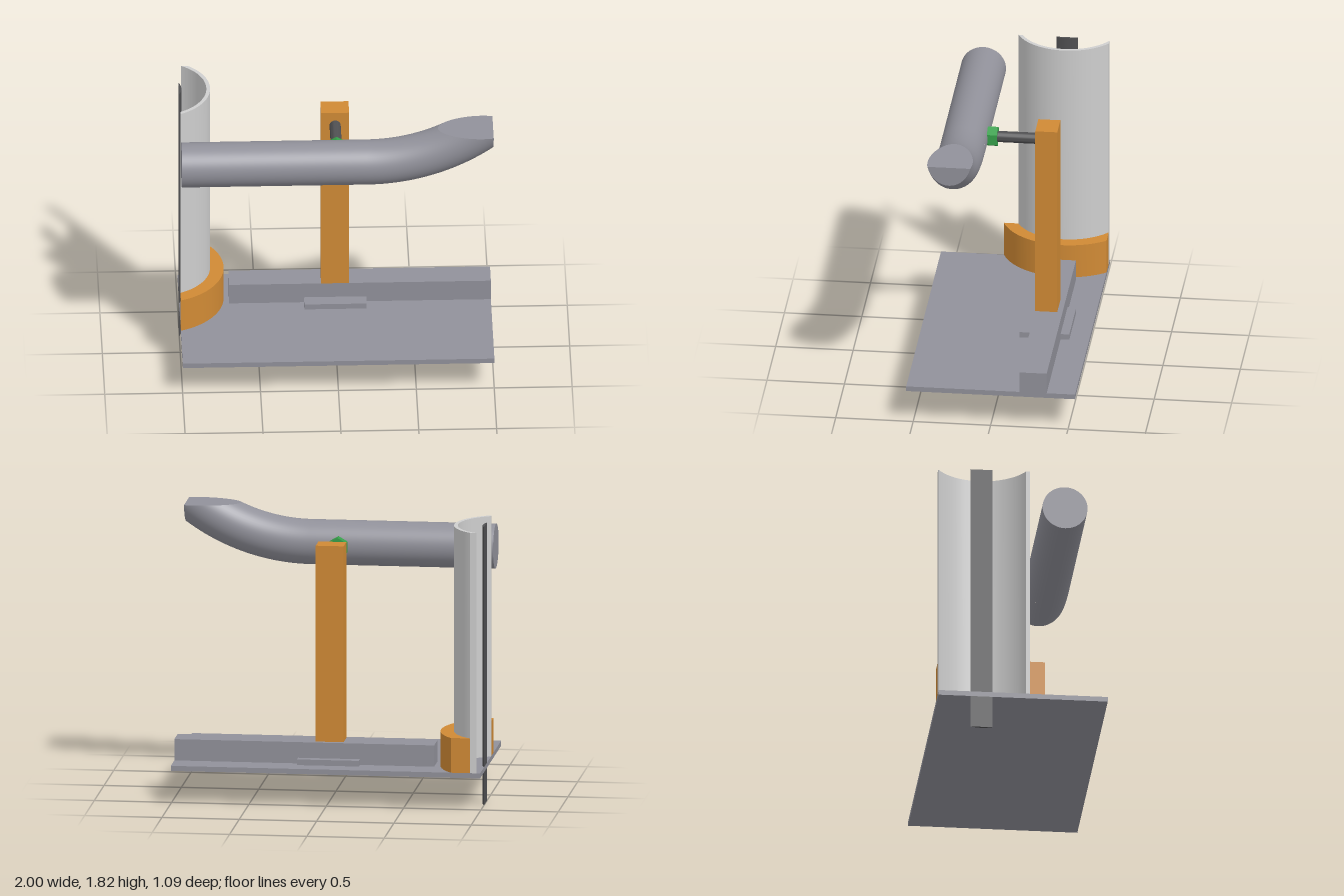
import * as THREE from 'three';
import { toCreasedNormals } from 'three/addons/utils/BufferGeometryUtils.js';
import { ParametricGeometry } from 'three/addons/geometries/ParametricGeometry.js';

const mat = (name, color) => {
  const m = new THREE.MeshStandardMaterial({ color });
  m.name = name;
  return m;
};

export function createModel() {
  const model = new THREE.Group();
  model.name = 'pipeStand';
  const steel = mat('steelGrey', 0x91919a);
  const orange = mat('orange', 0xd08a35);
  const pale = mat('paleGrey', 0xcecece);
  const dark = mat('darkGrey', 0x505052);
  const green = mat('green', 0x36a04a);

  const add = (name, geo, material) => {
    const mesh = new THREE.Mesh(geo, material);
    mesh.name = name;
    model.add(mesh);
    return mesh;
  };
  // Box given by its limits on each axis
  const box = (name, material, [x0, x1], [y0, y1], [z0, z1]) =>
    add(name, new THREE.BoxGeometry(x1 - x0, y1 - y0, z1 - z0), material)
      .position.set((x0 + x1) / 2, (y0 + y1) / 2, (z0 + z1) / 2);

  // Base, rail, cross block and upright post
  box('basePlate', steel, [-1, 1], [0.215, 0.248], [-0.545, 0.545]);
  box('rail', steel, [-0.68, 1], [0.248, 0.387], [-0.362, -0.186]);
  box('crossBlock', steel, [-0.2, 0.2], [0.248, 0.285], [-0.418, -0.097]);
  box('post', orange, [-0.09, 0.09], [0.387, 1.668], [-0.328, -0.186]);

  // Upright round parts, cut off flat at x = -1 and z = -0.545
  const cx = -1.148, cz = 0.27, cutX = 0.148, cutZ = 0.275;
  const cutRing = (name, material, outer, inner, y0, y1) => {
    const shape = new THREE.Shape();
    const start = (r) => -Math.acos(cutX / r);
    const end = (r) => Math.min(Math.asin(Math.min(1, cutZ / r)), -start(r));
    shape.absarc(cx, cz, outer, start(outer), end(outer), false);
    if (inner) shape.absarc(cx, cz, inner, end(inner), start(inner), true);
    shape.closePath();
    const geo = new THREE.ExtrudeGeometry(shape, { depth: y1 - y0, bevelEnabled: false, curveSegments: 40 });
    geo.rotateX(-Math.PI / 2).translate(0, y0, 0);
    add(name, toCreasedNormals(geo, 0.5), material);
  };
  cutRing('uprightPipe', pale, 0.348, 0.324, 0.248, 1.82);
  cutRing('pipeCollar', orange, 0.435, 0.348, 0.248, 0.475);
  cutRing('innerRod', dark, 0.164, 0, 0, 1.82);

  // Arm and hexagonal nut, both running along z
  const armY = 1.575;
  const along = (name, material, radius, sides, z0, z1) => {
    const geo = new THREE.CylinderGeometry(radius, radius, z1 - z0, sides).rotateX(Math.PI / 2);
    add(name, toCreasedNormals(geo, 0.5), material).position.set(0, armY, (z0 + z1) / 2);
  };
  along('arm', dark, 0.036, 32, -0.2, 0.1);
  along('nut', green, 0.068, 6, 0.066, 0.13);

  // Horizontal bar: straight part
  const r = 0.145, barZ = 0.27, x0 = 0.19, bend = 1.235, topY = 1.82;
  const straight = new THREE.CylinderGeometry(r, r, x0 + 1, 64, 1, true).rotateZ(Math.PI / 2);
  add('barStraight', straight, steel).position.set((x0 - 1) / 2, armY, barZ);
  add('barEnd', new THREE.CircleGeometry(r, 64).rotateY(-Math.PI / 2), steel).position.set(-1, armY, barZ);

  // Bar: upward bend, cut off flat at x = 1 and y = topY
  const centreY = armY + bend, dx = 1 - x0, dy = centreY - topY;
  const corner = Math.acos((Math.hypot(dx, dy) - bend) / r);
  const onBend = (phi, v, target) => {
    const rad = bend + r * Math.cos(phi);
    const limit = Math.min(Math.asin(Math.min(1, dx / rad)), Math.acos(Math.min(1, dy / rad)));
    const t = v * limit;
    return target.set(x0 + rad * Math.sin(t), centreY - rad * Math.cos(t), barZ - r * Math.sin(phi));
  };
  // Angle around the bar, with a vertex line exactly where the two cuts meet
  const around = (u) => {
    const s = 2 * u - 1, a = Math.abs(s);
    return Math.sign(s) * (a < 0.5 ? 2 * a * corner : corner + (2 * a - 1) * (Math.PI - corner));
  };
  add('barBend', new ParametricGeometry((u, v, p) => onBend(around(u), v, p), 64, 24), steel);

  // Flat faces closing the bend, spanned from the +z rim to the -z rim
  const cutFace = (name, from, to) => {
    const geo = new ParametricGeometry((u, v, p) => {
      onBend(from + v * (to - from), 1, p);
      p.z = barZ + (p.z - barZ) * (2 * u - 1);
    }, 1, 24).toNonIndexed();
    geo.computeVertexNormals();
    add(name, geo, steel);
  };
  cutFace('barTipFace', 0, corner);
  cutFace('barTopCut', corner, Math.PI);

  return model;
}
